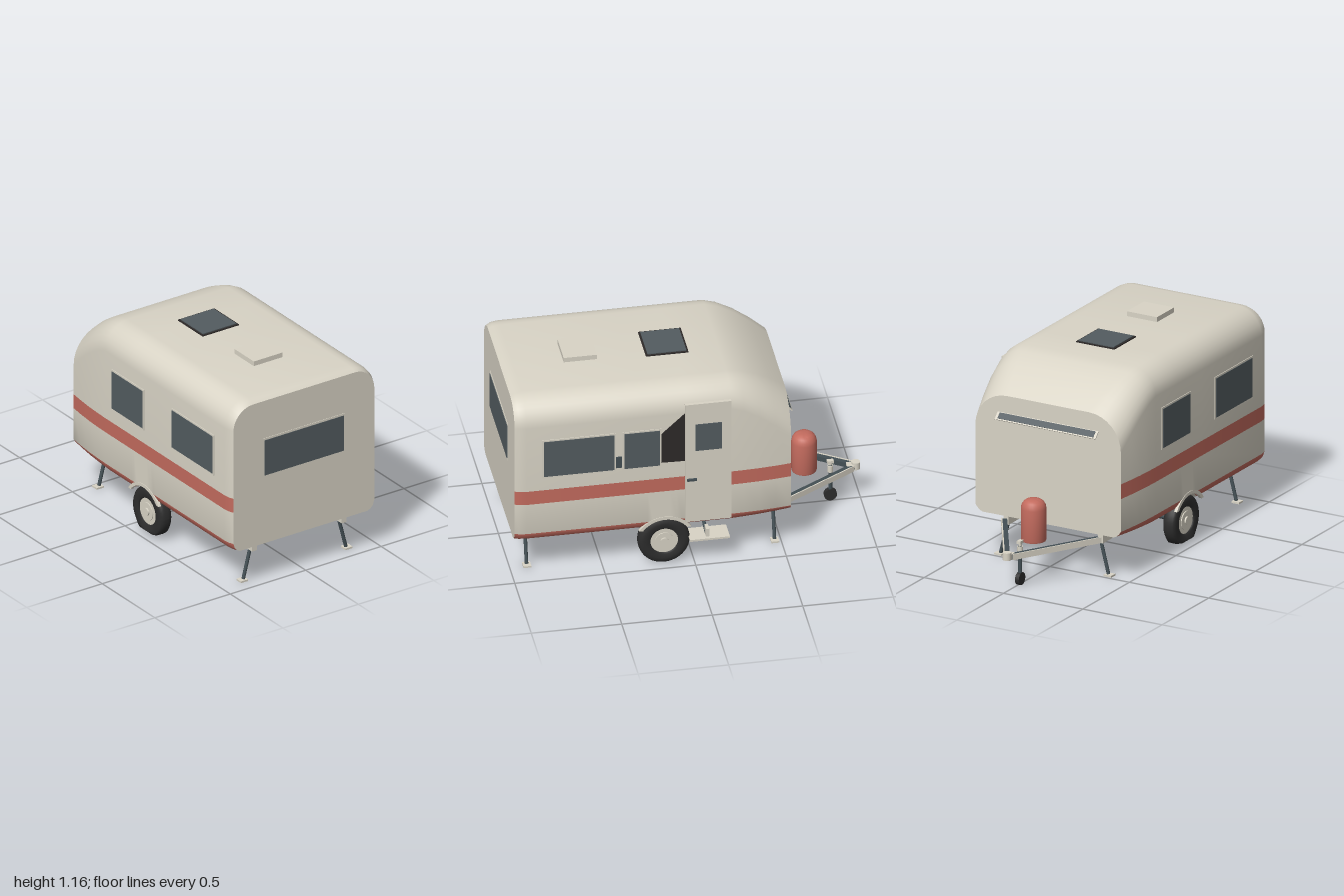
import * as THREE from 'three';
import { toCreasedNormals } from 'three/addons/utils/BufferGeometryUtils.js';

const mat = (name, color) => new THREE.MeshStandardMaterial({ name, color });

export function createModel() {
  const cream = mat('cream', 0xd9d4c6), red = mat('red', 0xc36b5e), glass = mat('glass', 0x535c60);
  const steel = mat('dark steel', 0x434f54), rubber = mat('rubber', 0x2d2d2d), dark = mat('dark interior', 0x2e2a29);
  const model = new THREE.Group();
  model.name = 'caravan';
  const W = 0.4825, AXZ = 0.165, AXY = 0.147;

  const add = (name, geo, m) => {
    const mesh = new THREE.Mesh(geo, m);
    mesh.name = name;
    model.add(mesh);
    return mesh;
  };
  // box from its limits
  const box = (name, m, x0, x1, y0, y1, z0, z1) =>
    add(name, new THREE.BoxGeometry(Math.abs(x1 - x0), y1 - y0, z1 - z0)
      .translate((x0 + x1) / 2, (y0 + y1) / 2, (z0 + z1) / 2), m);
  // beam or round rod between two points
  const between = (name, m, a, b, w, h) => {
    const p = new THREE.Vector3(...a), q = new THREE.Vector3(...b), len = p.distanceTo(q);
    const geo = h ? new THREE.BoxGeometry(w, h, len) : new THREE.CylinderGeometry(w, w, len, 16).rotateX(Math.PI / 2);
    const mesh = add(name, geo, m);
    mesh.position.copy(p).add(q).multiplyScalar(0.5);
    mesh.lookAt(q);
    return mesh;
  };
  // flat shape drawn in (z, y), thickness running from x inward
  const sideShape = (name, m, shape, x, depth) =>
    add(name, new THREE.ExtrudeGeometry(shape, { depth, bevelEnabled: false, curveSegments: 20 })
      .rotateY(-Math.PI / 2).translate(x, 0, 0), m);

  // Shell: cross-sections [z, half width, bottom, top, corner radius]
  const sections = [
    [0.994, 0.467, 0.24, 1.107, 0.13], [0.97, 0.477, 0.24, 1.122, 0.14], [0.93, W, 0.24, 1.13, 0.15],
    ...[0.124, 0.115, 0.095, 0.065, 0.03, 0, -0.03, -0.065, -0.095, -0.115, -0.124]
      .map(d => [AXZ + d, W, 0.24, 1.13, 0.15]),
    [-0.2, W, 0.24, 1.13, 0.15], [-0.27, 0.481, 0.243, 1.115, 0.16], [-0.36, 0.477, 0.247, 1.075, 0.175],
    [-0.45, 0.469, 0.251, 1.018, 0.19], [-0.535, 0.459, 0.255, 0.95, 0.2],
  ];
  const ring = ([z, w, yb, yt, r]) => {
    const half = [[0.36, yb], [0.375, yb], [w - 0.045, yb], [w - 0.025, yb + 0.01], [w - 0.01, yb + 0.025],
      [w, 0.295], [w, 0.485], [w, 0.57]];
    for (let k = 0; k <= 8; k++) {
      const a = k / 8 * Math.PI / 2;
      half.push([w - r + r * Math.cos(a), yt - r + r * Math.sin(a)]);
    }
    // wheel well
    const dz = Math.abs(z - AXZ);
    const arch = dz < 0.13 ? AXY + Math.sqrt(0.155 ** 2 - dz * dz) : 0;
    const right = half.map(([x, y]) => [x, x > 0.37 && y < 0.4 ? Math.max(y, arch) : y, z]);
    return [...right, ...right.slice().reverse().map(([x, y]) => [-x, y, z])];
  };
  const rings = sections.map(ring), n = rings[0].length;
  const stripeRows = new Set([3, 4, 6]);
  const creamIdx = [], redIdx = [];
  for (let i = 0; i < rings.length - 1; i++) for (let j = 0; j < n; j++) {
    const k = (j + 1) % n, a = i * n + j, b = i * n + k, d = a + n, c = b + n;
    const row = j < n / 2 ? j : n - 2 - j;
    (stripeRows.has(row) ? redIdx : creamIdx).push(a, d, b, b, d, c);
  }
  const last = (rings.length - 1) * n, pts = rings.flat();
  pts.push([0, 0.6, sections[0][0]], [0, 0.6, -0.535]);
  for (let j = 0; j < n; j++) {
    const k = (j + 1) % n;
    creamIdx.push(pts.length - 2, j, k, pts.length - 1, last + k, last + j);
  }
  const shell = new THREE.BufferGeometry();
  shell.setAttribute('position', new THREE.Float32BufferAttribute(pts.flat(), 3));
  shell.setIndex([...creamIdx, ...redIdx]);
  shell.addGroup(0, creamIdx.length, 0);
  shell.addGroup(creamIdx.length, redIdx.length, 1);
  add('bodyShell', toCreasedNormals(shell, 0.6), [cream, red]);

  // Side windows
  const sideWindow = (s, z0, z1, y0 = 0.66, y1 = 0.885, x = W) => {
    box('windowFrame', cream, s * (x - 0.004), s * (x + 0.004), y0 - 0.01, y1 + 0.01, z0 - 0.01, z1 + 0.01);
    box('windowGlass', glass, s * x, s * (x + 0.007), y0, y1, z0, z1);
  };
  sideWindow(1, 0.447, 0.835);
  sideWindow(1, 0.195, 0.39);
  sideWindow(-1, -0.13, 0.16);
  sideWindow(-1, 0.44, 0.825);
  box('sideVent', steel, W, W + 0.006, 0.67, 0.74, 0.405, 0.437);

  // Dark opening beside the door
  const gap = new THREE.Shape([[0.185, 0.675], [0.055, 0.672], [0.055, 0.98], [0.185, 0.86]]
    .map(p => new THREE.Vector2(...p)));
  sideShape('sideOpening', dark, gap, W + 0.004, 0.008);

  // Door with window and handle
  box('door', cream, 0.44, W + 0.008, 0.275, 1.035, -0.2, 0.055);
  box('doorWindow', glass, W, W + 0.013, 0.735, 0.905, -0.147, 0);
  box('doorHandle', steel, W, W + 0.02, 0.544, 0.556, -0.008, 0.046);

  // Front window
  box('frontWindowFrame', cream, -0.272, 0.272, 0.645, 0.88, 0.99, 0.997);
  box('frontWindowGlass', glass, -0.262, 0.262, 0.655, 0.868, 0.992, 1);

  // Rear window, tilted open
  between('rearWindowFrame', cream, [0, 0.85, -0.532], [0, 0.815, -0.568], 0.635, 0.005);
  between('rearWindowGlass', glass, [0, 0.846, -0.536], [0, 0.82, -0.563], 0.605, 0.008);

  // Roof fittings
  box('roofVent', cream, -0.095, 0.095, 1.12, 1.158, 0.472, 0.655);
  box('skylightFrame', dark, -0.12, 0.12, 1.12, 1.136, -0.03, 0.205);
  box('skylight', glass, -0.11, 0.11, 1.13, 1.141, -0.02, 0.195);

  // Wheels; the right-hand tyre is flat
  const tyreProfile = [[0.075, -0.028], [0.085, -0.036], [0.11, -0.039], [0.13, -0.036], [0.14, -0.026], [0.143, -0.01],
    [0.143, 0.01], [0.14, 0.026], [0.13, 0.036], [0.11, 0.039], [0.085, 0.036], [0.075, 0.028], [0.075, -0.028]]
    .map(p => new THREE.Vector2(...p));
  const a0 = Math.asin((0.24 - AXY) / 0.17), a1 = Math.asin((0.24 - AXY) / 0.153);
  for (const s of [1, -1]) {
    const x = s * 0.427;
    const tyre = new THREE.LatheGeometry(tyreProfile, 40).rotateZ(Math.PI / 2);
    if (s < 0) {
      const p = tyre.attributes.position;
      for (let i = 0; i < p.count; i++) {
        const y = p.getY(i);
        if (y < -0.085) p.setX(i, p.getX(i) * (1 + Math.min(1, (-0.085 - y) / 0.03) * 0.18));
        p.setY(i, Math.max(y, -0.114));
      }
      tyre.computeVertexNormals();
    }
    add('tyre', tyre, rubber).position.set(x, AXY, AXZ);
    const disc = (name, m, r, half, sides) =>
      add(name, new THREE.CylinderGeometry(r, r, half * 2, sides).rotateZ(Math.PI / 2), m).position.set(x, AXY, AXZ);
    disc('wheelRim', cream, 0.077, 0.029, 32);
    disc('wheelDish', cream, 0.052, 0.034, 24);
    disc('hubCap', cream, 0.022, 0.043, 16);

    // Wheel arch trim
    const trim = new THREE.Shape();
    trim.absarc(AXZ, AXY, 0.172, a0, Math.PI - a0, false);
    trim.absarc(AXZ, AXY, 0.153, Math.PI - a1, a1, true);
    sideShape('wheelArch', cream, trim, s > 0 ? W + 0.003 : -W + 0.015, 0.018);

    // Chassis rail and corner legs
    box('chassisRail', cream, s * 0.281, s * 0.313, 0.185, 0.24, -0.48, 0.95);
    for (const z of [0.905, -0.465]) {
      between('cornerLeg', steel, [s * 0.293, 0.19, z], [s * 0.34, 0.01, z], 0.01);
      box('legFoot', cream, s * 0.322, s * 0.37, 0, 0.01, z - 0.022, z + 0.022);
    }

    // Drawbar arm with pale outer face
    between('drawbarArm', steel, [s * 0.296, 0.212, -0.5], [s * 0.012, 0.203, -0.955], 0.03, 0.028);
    between('drawbarPlate', cream, [s * 0.313, 0.212, -0.5], [s * 0.027, 0.203, -0.96], 0.007, 0.034);
  }
  between('axle', steel, [-0.4, AXY, AXZ], [0.4, AXY, AXZ], 0.018);

  // Entrance step
  box('step', cream, 0.38, 0.5, 0.149, 0.161, -0.19, 0.03);
  box('stepBracket', cream, 0.43, 0.48, 0.155, 0.21, -0.08, -0.062);
  between('stepArm', steel, [0.3, 0.2, -0.07], [0.44, 0.165, -0.07], 0.01);

  // Hitch
  box('hitch', cream, -0.022, 0.022, 0.187, 0.218, -0.985, -0.925);
  add('hitchHead', new THREE.CylinderGeometry(0.024, 0.024, 0.042, 16), cream).position.set(0, 0.21, -0.976);

  // Jockey wheel
  between('jockeyPost', steel, [0, 0.06, -0.835], [0, 0.225, -0.835], 0.011);
  add('jockeyClamp', new THREE.CylinderGeometry(0.016, 0.016, 0.04, 16), cream).position.set(0, 0.203, -0.835);
  between('jockeyTop', cream, [0, 0.22, -0.835], [0, 0.245, -0.835], 0.009);
  box('jockeyHandle', cream, -0.012, 0.012, 0.24, 0.256, -0.853, -0.817);
  between('jockeyTyre', rubber, [-0.012, 0.037, -0.835], [0.012, 0.037, -0.835], 0.036);

  // Gas bottle
  const bottle = [[0, 0.215], [0.068, 0.215], [0.07, 0.222], [0.07, 0.4], [0.066, 0.42], [0.056, 0.436], [0.042, 0.447],
    [0.022, 0.452], [0, 0.452]].map(p => new THREE.Vector2(...p));
  add('gasBottle', toCreasedNormals(new THREE.LatheGeometry(bottle, 28), 0.7), red).position.z = -0.69;

  model.position.x = -0.008;
  const root = new THREE.Group();
  root.add(model);
  return root;
}
